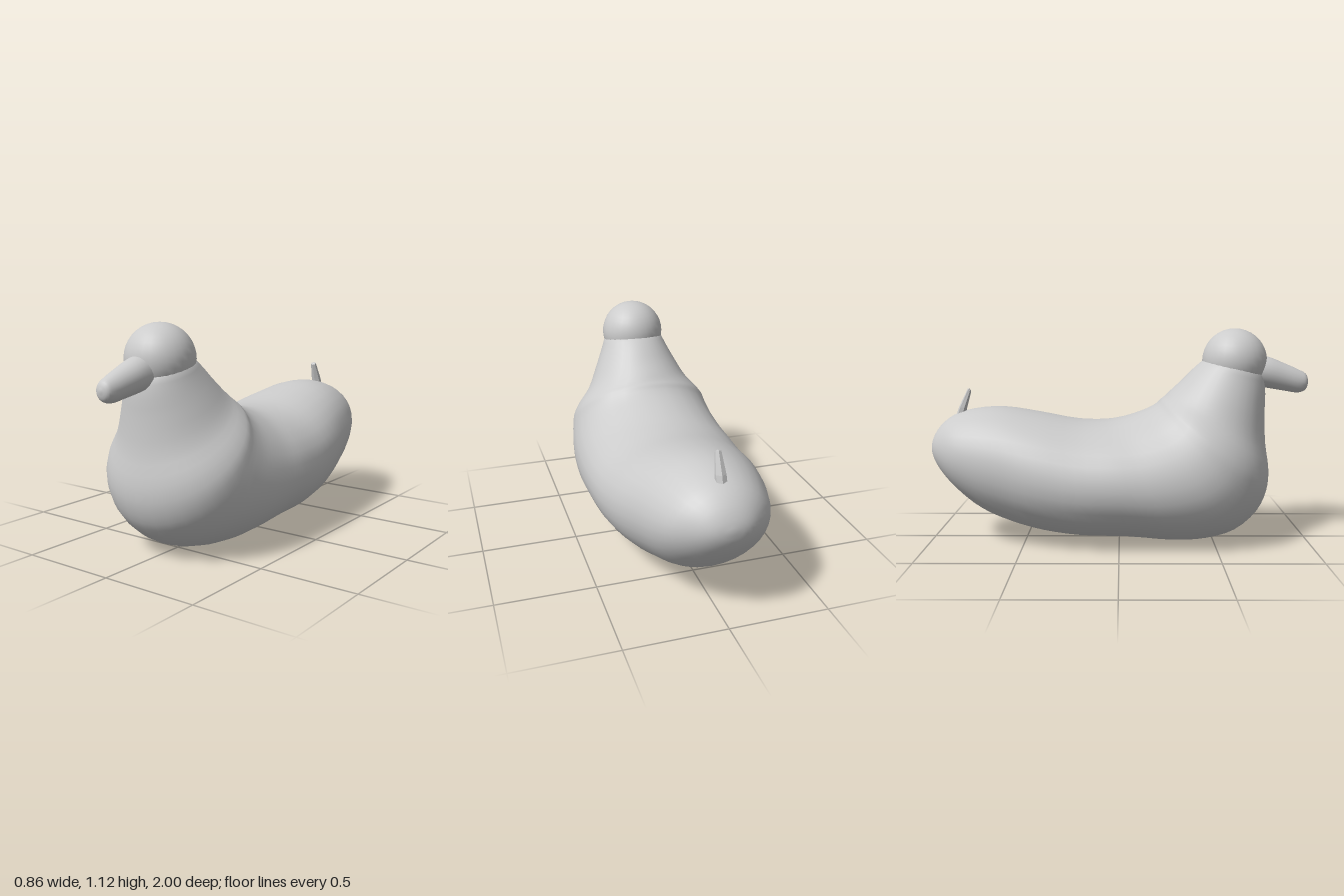
import * as THREE from 'three';
import { mergeVertices } from 'three/addons/utils/BufferGeometryUtils.js';

// Lofts elliptical rings. Each section is [upper z, upper y, lower z, lower y, half width].
function loft(sections, steps, sides) {
  const upper = new THREE.CatmullRomCurve3(sections.map(s => new THREE.Vector3(s[4], s[1], s[0])));
  const lower = new THREE.CatmullRomCurve3(sections.map(s => new THREE.Vector3(s[4], s[3], s[2])));
  const pos = [], index = [];
  for (let i = 0; i <= steps; i++) {
    const b = upper.getPoint(i / steps), a = lower.getPoint(i / steps);
    const w = Math.max(0, b.x);
    for (let j = 0; j < sides; j++) {
      const t = j / sides * Math.PI * 2, c = Math.cos(t) / 2;
      pos.push(w * Math.sin(t), (a.y + b.y) / 2 + (b.y - a.y) * c, (a.z + b.z) / 2 + (b.z - a.z) * c);
      if (i < steps) {
        const k = (j + 1) % sides, p = i * sides + j, q = i * sides + k;
        index.push(p, p + sides, q, q, p + sides, q + sides);
      }
    }
  }
  let g = new THREE.BufferGeometry();
  g.setAttribute('position', new THREE.Float32BufferAttribute(pos, 3));
  g.setIndex(index);
  g = mergeVertices(g, 1e-5);
  g.computeVertexNormals();
  return g;
}

export function createModel() {
  const group = new THREE.Group();
  const smooth = new THREE.MeshStandardMaterial({ color: 0xcccccc });
  const faceted = new THREE.MeshStandardMaterial({ color: 0xcccccc, flatShading: true });
  const add = (name, geometry, material = smooth) => {
    const mesh = new THREE.Mesh(geometry, material);
    mesh.name = name;
    group.add(mesh);
    return mesh;
  };

  // Body: rings run forward from the rump, then fan upward into the neck
  add('body', loft([
    [-1.0, 0.51, -1.0, 0.51, 0],
    [-0.985, 0.56, -0.99, 0.45, 0.08],
    [-0.95, 0.615, -0.95, 0.375, 0.15],
    [-0.88, 0.67, -0.85, 0.265, 0.235],
    [-0.77, 0.705, -0.72, 0.165, 0.29],
    [-0.62, 0.715, -0.57, 0.1, 0.335],
    [-0.42, 0.685, -0.4, 0.055, 0.385],
    [-0.22, 0.648, -0.2, 0.03, 0.415],
    [-0.07, 0.645, 0.05, 0.025, 0.43],
    [0.02, 0.66, 0.3, 0.005, 0.43],
    [0.1, 0.685, 0.47, 0.015, 0.425],
    [0.16, 0.71, 0.62, 0.06, 0.415],
    [0.2, 0.735, 0.735, 0.16, 0.4],
    [0.22, 0.755, 0.785, 0.27, 0.385],
    [0.24, 0.77, 0.795, 0.38, 0.35],
    [0.27, 0.8, 0.775, 0.53, 0.285],
    [0.33, 0.855, 0.77, 0.7, 0.23],
    [0.4, 0.925, 0.77, 0.82, 0.185],
    [0.47, 0.975, 0.75, 0.9, 0.15],
    [0.6, 0.95, 0.6, 0.95, 0],
  ], 57, 32));

  // Head
  add('head', new THREE.SphereGeometry(0.17, 28, 18)).position.set(0, 0.957, 0.607);

  // Beak: tapers forward to a rounded end
  add('beak', loft([
    [0.68, 0.99, 0.68, 0.83, 0.08],
    [0.78, 0.98, 0.78, 0.815, 0.08],
    [0.87, 0.945, 0.87, 0.8, 0.068],
    [0.95, 0.91, 0.95, 0.79, 0.053],
    [0.985, 0.89, 0.985, 0.805, 0.038],
    [1.0, 0.85, 1.0, 0.85, 0],
  ], 20, 20));

  // Tail feather: a small faceted spike on the rump
  add('tailFeather', loft([
    [-0.875, 0.65, -0.825, 0.65, 0.03],
    [-0.855, 0.71, -0.81, 0.71, 0.028],
    [-0.805, 0.81, -0.787, 0.795, 0.016],
    [-0.795, 0.81, -0.795, 0.81, 0],
  ], 3, 6), faceted);

  return group;
}
